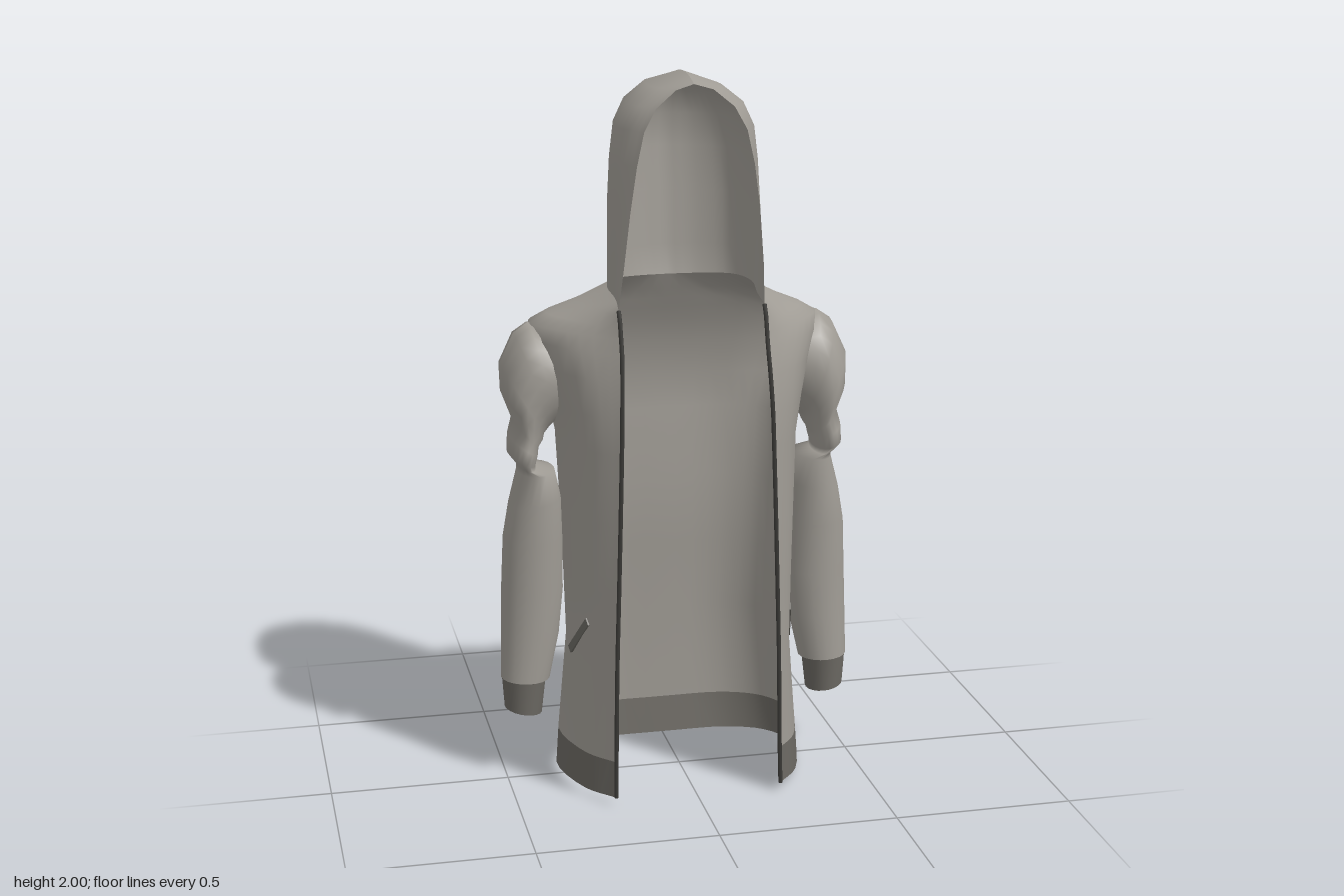
import * as THREE from 'three';

const fabric = new THREE.MeshStandardMaterial({ color: 0xa09c95, side: THREE.DoubleSide });
fabric.name = 'grey fabric';
const ribbing = new THREE.MeshStandardMaterial({ color: 0x6b6862, side: THREE.DoubleSide });
ribbing.name = 'dark ribbing';
const zipTape = new THREE.MeshStandardMaterial({ color: 0x3a3936, side: THREE.DoubleSide });
zipTape.name = 'zip tape';

// Skin a list of cross-sections, each an array of Vector3 of equal length
function loft(name, sections, material) {
  const n = sections[0].length;
  const index = [];
  for (let r = 0; r < sections.length - 1; r++) {
    for (let i = 0; i < n - 1; i++) {
      const a = r * n + i, b = a + n;
      index.push(a, a + 1, b + 1, a, b + 1, b);
    }
  }
  const geo = new THREE.BufferGeometry().setFromPoints(sections.flat());
  geo.setIndex(index);
  geo.computeVertexNormals();
  const mesh = new THREE.Mesh(geo, material);
  mesh.name = name;
  return mesh;
}

// Smooth half outline (front edge to centre back), mirrored to the other side
function openSection(half, y, lift) {
  const curve = new THREE.CatmullRomCurve3(half.map(([x, z]) => new THREE.Vector3(x, 0, z)), false, 'centripetal');
  const pts = curve.getPoints(20);
  pts.forEach(p => { p.y = y + lift(p.z); });
  const mirrored = pts.slice(0, -1).reverse().map(p => new THREE.Vector3(-p.x, p.y, p.z));
  return [...pts, ...mirrored];
}

// height, opening half width, front z, half width, back z, front fullness, back corner fullness
const bodyRows = [
  [0.013, 0.235, 0.255, 0.35, -0.232, 0.7, 0.65],
  [0.118, 0.233, 0.25, 0.342, -0.25, 0.7, 0.65],
  [0.4, 0.228, 0.248, 0.316, -0.25, 0.7, 0.65],
  [0.6, 0.222, 0.247, 0.322, -0.236, 0.7, 0.65],
  [0.8, 0.216, 0.245, 0.33, -0.232, 0.7, 0.65],
  [1.0, 0.21, 0.24, 0.338, -0.248, 0.7, 0.68],
  [1.1, 0.207, 0.235, 0.358, -0.25, 0.7, 0.75],
  [1.2, 0.203, 0.22, 0.385, -0.232, 0.66, 0.78],
  [1.27, 0.2, 0.203, 0.41, -0.207, 0.58, 0.78],
  [1.31, 0.2, 0.19, 0.405, -0.188, 0.5, 0.75],
  [1.338, 0.2, 0.182, 0.36, -0.176, 0.5, 0.72],
  [1.37, 0.2, 0.17, 0.285, -0.16, 0.5, 0.65],
];

function bodySection([y, ex, zf, w, zb, front, back]) {
  const zc = -0.06;
  const half = [
    [ex, zf],
    [ex + (w - ex) * 0.6, zf * front + zc * (1 - front)],
    [w, zc],
    [w * (0.4 + 0.7 * back), zc + (zb - zc) * back],
    [w * 0.55, zb * 0.97],
    [0, zb],
  ];
  return openSection(half, y, z => 0.05 * z * Math.max(0, 1 - y));
}

// height, opening half width, front z, half width, back z
const hoodRows = [
  [1.402, 0.2, 0.16, 0.202, -0.14],
  [1.5, 0.19, 0.185, 0.201, -0.155],
  [1.65, 0.175, 0.2, 0.2, -0.158],
  [1.77, 0.158, 0.205, 0.193, -0.175],
  [1.86, 0.138, 0.203, 0.182, -0.17],
  [1.92, 0.105, 0.197, 0.153, -0.153],
  [1.965, 0.05, 0.188, 0.095, -0.12],
  [1.978, 0, 0.178, 0, -0.08],
];

function hoodSection([y, ex, zf, w, zb], row) {
  const half = [
    [ex, zf], [w * 0.97, zf * 0.6], [w, 0.01],
    [w * 0.82, zb * 0.6], [w * 0.42, zb * 0.9], [0, zb],
  ];
  // neckline rises at the shoulder seams; the crown ridge arches slightly
  let lift = () => 0;
  if (row === 0) lift = z => 0.018 * (1 - ((z + 0.06) / 0.15) ** 2);
  if (w === 0) lift = z => 0.022 * (1 - ((z - 0.05) / 0.13) ** 2);
  return openSection(half, y, lift);
}

// outer x, outer y, inner x, inner y, centre z, half depth
const sleeveRows = [
  [0.365, 1.3, 0.325, 1.05, -0.07, 0.115],
  [0.41, 1.312, 0.345, 1.03, -0.07, 0.122],
  [0.45, 1.285, 0.36, 1.015, -0.07, 0.125],
  [0.49, 1.2, 0.372, 1.0, -0.07, 0.122],
  [0.488, 1.12, 0.376, 0.985, -0.066, 0.118],
  [0.46, 1.045, 0.39, 0.965, -0.06, 0.098],
  [0.472, 1.0, 0.392, 0.95, -0.055, 0.107],
  [0.475, 0.95, 0.4, 0.92, -0.053, 0.102],
  [0.448, 0.915, 0.4, 0.905, -0.055, 0.08],
  [0.45, 0.895, 0.345, 0.9, -0.055, 0.09],
  [0.475, 0.8, 0.328, 0.82, -0.055, 0.09],
  [0.493, 0.7, 0.324, 0.7, -0.057, 0.088],
  [0.5, 0.55, 0.324, 0.55, -0.06, 0.083],
  [0.504, 0.42, 0.338, 0.42, -0.056, 0.078],
  [0.507, 0.29, 0.368, 0.285, -0.05, 0.071],
];
const cuffRows = [
  [0.504, 0.29, 0.38, 0.282, -0.05, 0.068],
  [0.498, 0.2, 0.392, 0.182, -0.05, 0.063],
];

function sleeveSection([ox, oy, ix, iy, zc, rz], side) {
  const pts = [];
  for (let i = 0; i <= 20; i++) {
    const a = (i / 20) * Math.PI * 2;
    const t = (1 + Math.cos(a)) / 2;
    pts.push(new THREE.Vector3(
      side * (ix + (ox - ix) * t), iy + (oy - iy) * t, zc + side * rz * Math.sin(a)));
  }
  return pts;
}

export function createModel() {
  const model = new THREE.Group();
  model.name = 'hooded jacket';

  // Jacket body, hem band and hood; the body closes onto the hood's neckline
  const hood = hoodRows.map(hoodSection);
  const body = [...bodyRows.map(bodySection), hood[0]];
  model.add(loft('hemBand', body.slice(0, 2), ribbing));
  model.add(loft('body', body.slice(1), fabric));
  model.add(loft('hood', hood, fabric));

  for (const side of [1, -1]) {
    const label = side > 0 ? 'left' : 'right';

    // Sleeve with bunched elbow, and its cuff
    model.add(loft(label + 'Sleeve', sleeveRows.map(r => sleeveSection(r, side)), fabric));
    model.add(loft(label + 'Cuff', cuffRows.map(r => sleeveSection(r, side)), ribbing));

    // Zip edge along the front opening
    const edge = new THREE.CatmullRomCurve3(body.map(s => s[side > 0 ? 0 : s.length - 1].clone()));
    const zip = new THREE.Mesh(new THREE.TubeGeometry(edge, 40, 0.006, 6), zipTape);
    zip.name = label + 'ZipEdge';
    model.add(zip);

    // Slanted pocket welt
    const top = new THREE.Vector3(side * 0.286, 0.505, 0.135);
    const low = new THREE.Vector3(side * 0.316, 0.385, 0.02);
    const welt = new THREE.Mesh(new THREE.BoxGeometry(0.012, 0.022, top.distanceTo(low)), ribbing);
    welt.position.copy(top).add(low).multiplyScalar(0.5);
    welt.lookAt(top);
    welt.name = label + 'PocketWelt';
    model.add(welt);
  }
  return model;
}
